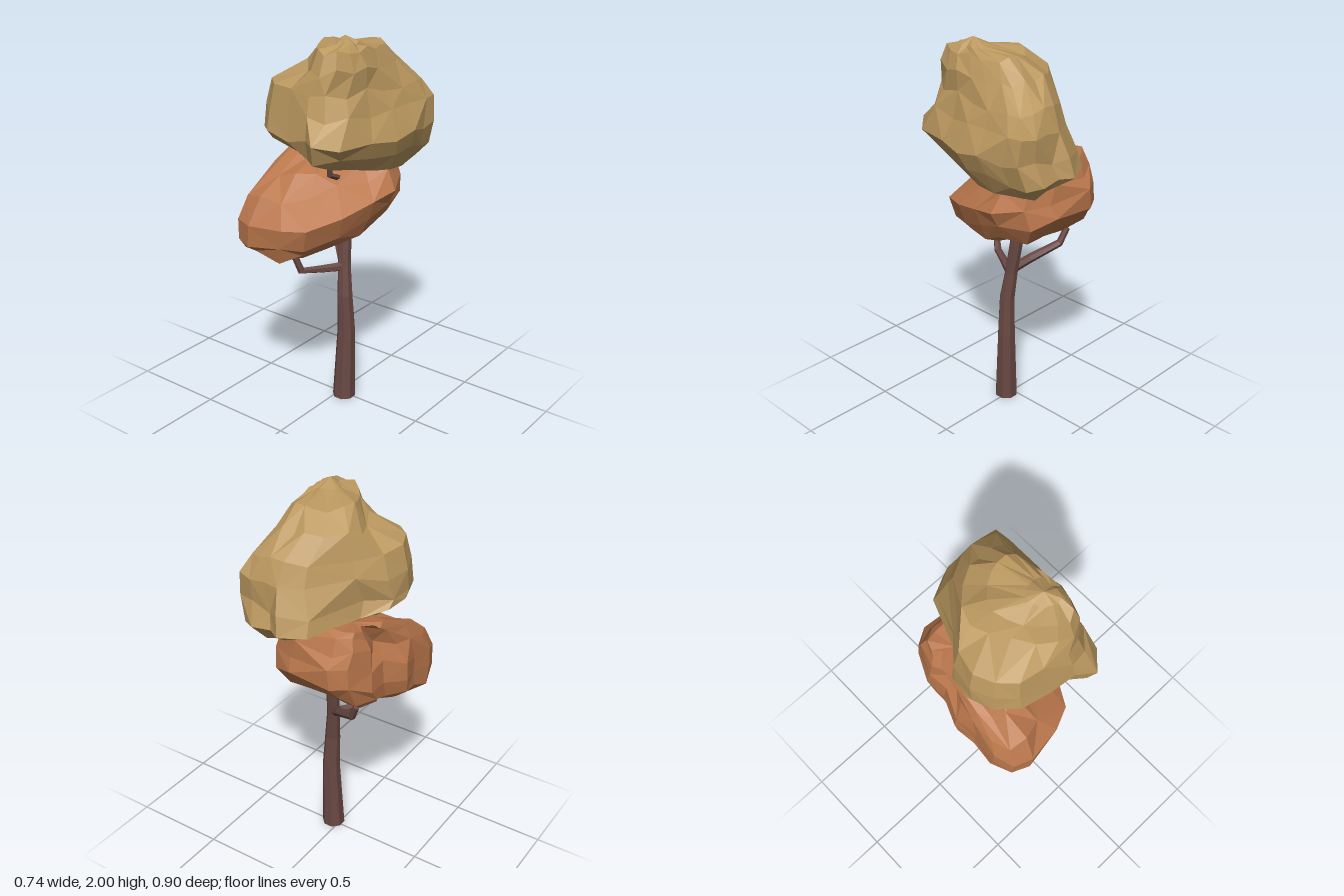
import * as THREE from 'three';

const mat = (name, color) => Object.assign(new THREE.MeshStandardMaterial({ color, flatShading: true }), { name });

function seeded(seed) {
  return () => {
    seed = (seed * 16807) % 2147483647;
    return seed / 2147483647 - 0.5;
  };
}

// Closed skin over a stack of rings (arrays of Vector3), with a centre point at each end
function skin(rings, startPoint, endPoint) {
  const n = rings[0].length;
  const points = [...rings.flat(), startPoint, endPoint];
  const start = rings.length * n, end = start + 1, last = start - n;
  const index = [];
  for (let j = 0; j < n; j++) {
    const k = (j + 1) % n;
    index.push(start, j, k, end, last + k, last + j);
    for (let i = 0; i < rings.length - 1; i++) {
      const a = i * n + j, b = i * n + k, c = b + n, d = a + n;
      if ((i + j) % 2) index.push(a, d, c, a, c, b);
      else index.push(a, d, b, d, c, b);
    }
  }
  let g = new THREE.BufferGeometry().setFromPoints(points);
  g.setIndex(index);
  g = g.toNonIndexed();
  g.computeVertexNormals();
  return g;
}

// Tapering limb through [x, y, z, radius] points
function limb(path, sides) {
  const pts = path.map((p) => new THREE.Vector3(p[0], p[1], p[2]));
  const up = new THREE.Vector3(0, 1, 0);
  const rings = pts.map((p, i) => {
    const dir = pts[Math.min(i + 1, pts.length - 1)].clone().sub(pts[Math.max(i - 1, 0)]).normalize();
    if (path[i][1] === 0) dir.copy(up);
    const q = new THREE.Quaternion().setFromUnitVectors(up, dir);
    return Array.from({ length: sides }, (_, j) => {
      const a = ((j + 0.5) / sides) * Math.PI * 2;
      return new THREE.Vector3(Math.sin(a), 0, -Math.cos(a)).multiplyScalar(path[i][3]).applyQuaternion(q).add(p);
    });
  });
  return skin(rings, pts[0], pts[pts.length - 1]);
}

// Rings of one plan outline fitted to each level [y, x0, x1, z0, z1, slopeX, slopeZ], slightly roughened
function leafRings(outline, levels, rnd, rough) {
  const xs = outline.map((p) => p[0]), zs = outline.map((p) => p[1]);
  const fit = (v, list, a, b) => THREE.MathUtils.mapLinear(v, Math.min(...list), Math.max(...list), a, b);
  return levels.map(([y, x0, x1, z0, z1, sx, sz]) => outline.map(([ox, oz]) => {
    const x = fit(ox, xs, x0, x1), z = fit(oz, zs, z0, z1);
    const cx = (x0 + x1) / 2, cz = (z0 + z1) / 2;
    const s = 1 + rnd() * rough;
    return new THREE.Vector3(
      cx + (x - cx) * s,
      y + sx * x + sz * z + rnd() * Math.min(0.045, (x1 - x0) * 0.12),
      cz + (z - cz) * s);
  }));
}

export function createModel() {
  const model = new THREE.Group();
  model.name = 'tree';
  const bark = mat('bark brown', 0x684843);
  const tan = mat('tan leaves', 0xbb985f);
  const rust = mat('rust leaves', 0xba774c);
  const add = (name, geometry, material) => {
    const mesh = new THREE.Mesh(geometry, material);
    mesh.name = name;
    model.add(mesh);
  };

  // Trunk and branches
  add('trunk', limb([
    [0.038, 0, 0.01, 0.062], [0.045, 0.4, 0, 0.048], [0.037, 0.6, 0.003, 0.041],
    [0.021, 0.76, -0.014, 0.034], [0.005, 0.97, -0.042, 0.035],
  ], 8), bark);
  add('frontBranch', limb([
    [0.025, 0.755, -0.01, 0.026], [-0.04, 0.76, 0.1, 0.021],
    [-0.095, 0.77, 0.2, 0.02], [-0.135, 0.96, 0.265, 0.015],
  ], 6), bark);
  add('backBranch', limb([
    [0.015, 0.77, -0.01, 0.026], [-0.06, 0.83, -0.075, 0.024],
    [-0.19, 0.9, -0.158, 0.02], [-0.225, 0.98, -0.175, 0.017],
  ], 6), bark);
  add('upperBranch', limb([
    [0.02, 1.2, -0.02, 0.02], [0.04, 1.265, 0.06, 0.017],
    [0.045, 1.3, 0.14, 0.015], [0.07, 1.43, 0.168, 0.011],
  ], 6), bark);
  add('upperBackBranch', limb([
    [0.02, 1.2, -0.05, 0.018], [0.05, 1.3, -0.08, 0.015], [0.06, 1.41, -0.1, 0.012],
  ], 6), bark);

  // Lower leaf mass, sloping down towards the front, with a dent between two lobes on one side
  const lowerWide = [
    [-0.18, -0.37], [0.07, -0.35], [0.2, -0.29], [0.26, -0.12], [0.24, 0.02], [0.17, 0.2], [0.08, 0.37],
    [-0.03, 0.44], [-0.22, 0.45], [-0.32, 0.42], [-0.36, 0.32], [-0.355, 0.18], [-0.37, 0.06],
    [-0.32, -0.08], [-0.33, -0.2], [-0.27, -0.33],
  ];
  const lowerCrown = [
    [-0.18, -0.36], [0.05, -0.36], [0.2, -0.3], [0.24, -0.14], [0.2, -0.02], [0.1, 0.14], [0.02, 0.3],
    [-0.08, 0.4], [-0.2, 0.45], [-0.3, 0.42], [-0.35, 0.32], [-0.36, 0.18], [-0.33, 0.06],
    [-0.25, -0.06], [-0.32, -0.19], [-0.28, -0.31],
  ];
  const lowerRnd = seeded(41);
  add('lowerFoliage', skin([
    ...leafRings(lowerWide, [
      [0.945, -0.28, 0.06, -0.19, 0.31, 0.03, -0.25],
      [0.995, -0.36, 0.18, -0.29, 0.4, 0, -0.25],
      [1.08, -0.365, 0.225, -0.36, 0.44, 0, -0.25],
      [1.18, -0.36, 0.26, -0.35, 0.45, 0, -0.25],
    ], lowerRnd, 0.07),
    ...leafRings(lowerCrown, [
      [1.265, -0.34, 0.2, -0.32, 0.39, -0.05, -0.2],
      [1.315, -0.31, 0.12, -0.29, 0.24, -0.1, -0.24],
      [1.36, -0.29, 0.03, -0.25, 0.01, -0.1, -0.2],
    ], lowerRnd, 0.07),
  ], new THREE.Vector3(-0.1, 0.92, 0.08), new THREE.Vector3(-0.17, 1.42, -0.13)), rust);

  // Upper leaf mass, cut back on one rear corner and peaked towards the front
  const upperWide = [
    [0.06, -0.455], [0.13, -0.415], [0.24, -0.41], [0.325, -0.375], [0.335, -0.28], [0.367, -0.145],
    [0.36, 0], [0.32, 0.15], [0.27, 0.345], [0.18, 0.445], [0.1, 0.39], [-0.03, 0.36],
    [-0.18, 0.32], [-0.29, 0.23], [-0.32, 0.13], [-0.3, 0], [-0.19, -0.09], [-0.075, -0.385],
  ];
  const upperShoulder = [
    [0.07, -0.335], [0.14, -0.335], [0.21, -0.335], [0.28, -0.32], [0.29, -0.25], [0.28, -0.12],
    [0.27, 0], [0.25, 0.12], [0.23, 0.25], [0.16, 0.32], [0.08, 0.34], [-0.05, 0.32],
    [-0.17, 0.29], [-0.25, 0.22], [-0.29, 0.12], [-0.26, 0], [-0.17, -0.11], [-0.03, -0.28],
  ];
  const upperCrown = [
    [0.06, -0.115], [0.1, -0.12], [0.15, -0.12], [0.19, -0.1], [0.2, -0.06], [0.21, 0],
    [0.215, 0.07], [0.22, 0.14], [0.21, 0.2], [0.18, 0.26], [0.13, 0.285], [0.08, 0.265],
    [0.03, 0.22], [-0.02, 0.16], [-0.055, 0.09], [-0.07, 0.03], [-0.055, -0.03], [0, -0.09],
  ];
  const upperRnd = seeded(97);
  add('upperFoliage', skin([
    ...leafRings(upperWide, [
      [1.378, -0.2, 0.28, -0.36, 0.26, -0.14, 0.08],
      [1.445, -0.315, 0.335, -0.45, 0.41, -0.05, 0.05],
      [1.52, -0.32, 0.367, -0.42, 0.45, 0, 0.03],
    ], upperRnd, 0.04),
    ...leafRings(upperShoulder, [
      [1.64, -0.315, 0.325, -0.375, 0.37, 0, 0],
      [1.745, -0.28, 0.29, -0.335, 0.34, 0, 0],
    ], upperRnd, 0.05),
    ...leafRings(upperCrown, [
      [1.85, -0.15, 0.255, -0.23, 0.32, 0, 0],
      [1.935, -0.07, 0.22, -0.12, 0.285, 0, 0],
      [1.965, 0.06, 0.19, 0.05, 0.2, 0, 0],
    ], upperRnd, 0.05),
  ], new THREE.Vector3(0.12, 1.34, -0.04), new THREE.Vector3(0.13, 2, 0.13)), tan);

  return model;
}
